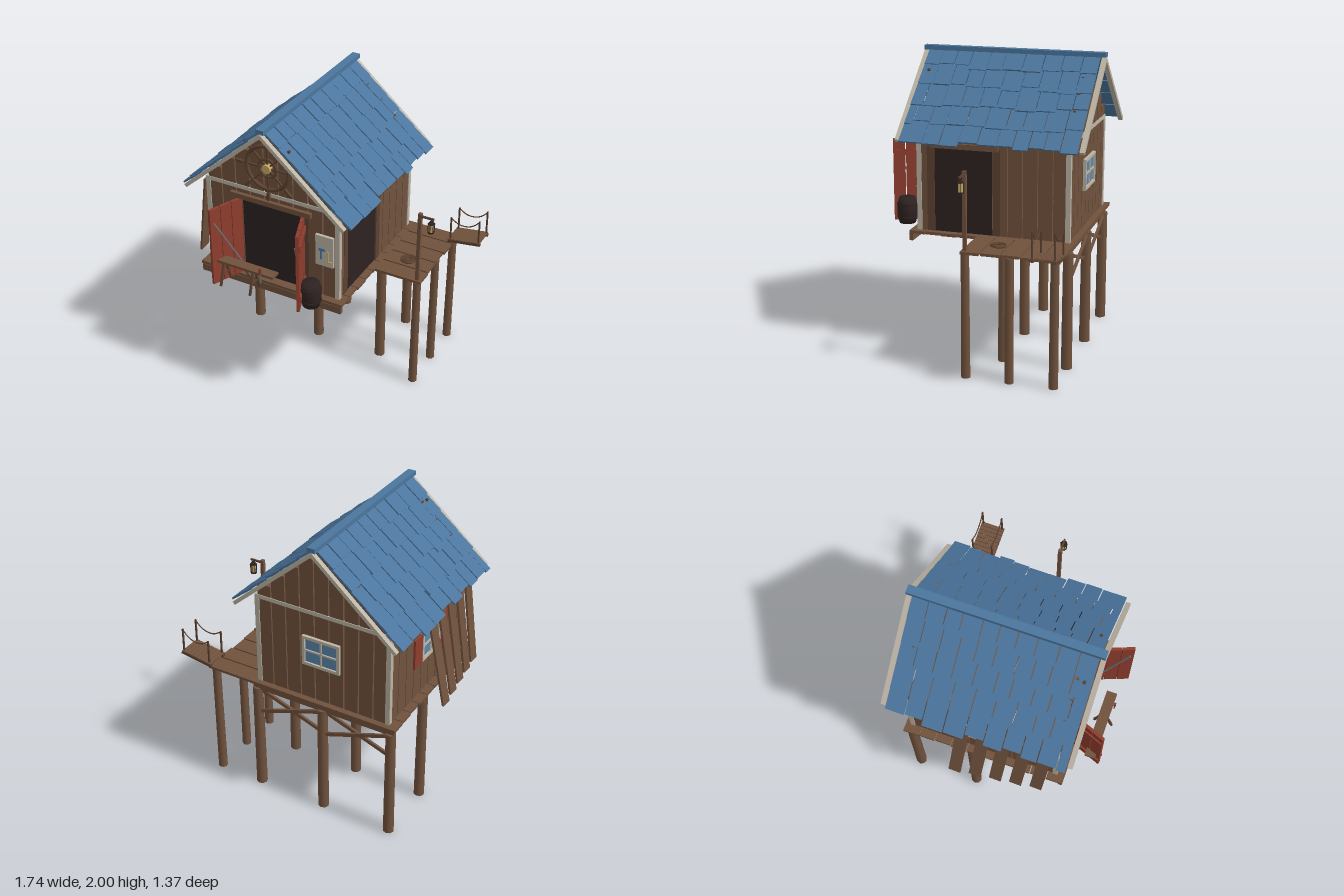
import * as THREE from 'three';

const mat = (name, hex) => Object.assign(new THREE.MeshStandardMaterial({ color: hex }), { name });
const M = {
  wood: mat('weathered wood', 0x70523d), darkWood: mat('dark wood', 0x5c4230), blue: mat('roof blue', 0x4c769e),
  cream: mat('cream trim', 0xbdb5a5), red: mat('door red', 0x8f3d2e), dark: mat('dark interior', 0x2d2221),
  gold: mat('brass', 0xcaa964), metal: mat('grey metal', 0x6f7476), glass: mat('window glass', 0x5b86ab),
};
const CX = -0.185, FLOOR = 0.85, FRONT = 0.43, BACK = -0.57, LEFT = -0.655, RIGHT = 0.285;
const RIDGE = 1.975, ANGLE = 0.72;

let seed = 7;
const rnd = () => ((seed = (seed * 16807) % 2147483647) / 2147483647);
const jit = a => (rnd() - 0.5) * 2 * a;

function add(parent, name, geo, m, x = 0, y = 0, z = 0) {
  const o = new THREE.Mesh(geo, m);
  o.name = name;
  o.position.set(x, y, z);
  parent.add(o);
  return o;
}
const box = (p, name, m, w, h, d, x, y, z) => add(p, name, new THREE.BoxGeometry(w, h, d), m, x, y, z);
const cyl = (p, name, m, r1, r2, h, n, x, y, z) => add(p, name, new THREE.CylinderGeometry(r1, r2, h, n), m, x, y, z);
// box given by its lower and upper corners
const span = (p, name, m, x0, x1, y0, y1, z0, z1) =>
  box(p, name, m, x1 - x0, y1 - y0, z1 - z0, (x0 + x1) / 2, (y0 + y1) / 2, (z0 + z1) / 2);
// square bar running between two points
function bar(p, name, m, a, b, w, d = w) {
  const A = new THREE.Vector3(...a), B = new THREE.Vector3(...b), dir = B.clone().sub(A);
  const o = box(p, name, m, w, dir.length(), d, ...A.clone().add(B).multiplyScalar(0.5).toArray());
  o.quaternion.setFromUnitVectors(new THREE.Vector3(0, 1, 0), dir.normalize());
  return o;
}
function tube(p, name, m, pts, r, seg = 16) {
  const c = new THREE.CatmullRomCurve3(pts.map(q => new THREE.Vector3(...q)));
  return add(p, name, new THREE.TubeGeometry(c, seg, r, 6), m);
}
function group(parent, name, x = 0, y = 0, z = 0) {
  const g = new THREE.Group();
  g.name = name;
  g.position.set(x, y, z);
  parent.add(g);
  return g;
}

// stilts, beams, cross braces and deck
function buildPlatform(root) {
  const g = group(root, 'platform');
  const xs = [-0.68, CX, 0.31];
  for (const z of [-0.58, -0.15]) for (const x of xs) cyl(g, 'stilt', M.wood, 0.034, 0.037, 0.79, 8, x, 0.395, z);
  for (const z of [0, -0.29, -0.58]) cyl(g, 'pierStilt', M.wood, 0.028, 0.031, 0.83, 8, 0.64, 0.415, z);
  for (const z of [-0.58, -0.15, 0.48]) span(g, 'beam', M.wood, -0.71, 0.335, 0.78, 0.83, z - 0.013, z + 0.013);
  for (const [a, b] of [[-0.65, -0.215], [-0.155, 0.28]]) {
    bar(g, 'brace', M.wood, [a, 0.61, -0.57], [b, 0.765, -0.57], 0.024, 0.016);
    bar(g, 'brace', M.wood, [a, 0.765, -0.59], [b, 0.61, -0.59], 0.024, 0.016);
  }
  for (let i = 0; i < 10; i++) {
    const z = -0.62 + i * 0.1115;
    span(g, 'deckPlank', M.wood, -0.72 + jit(0.006), 0.34 + jit(0.006), 0.83, FLOOR, z, z + 0.106);
  }
  for (let i = 0; i < 5; i++) {
    const z = -0.62 + i * 0.131;
    span(g, 'pierPlank', M.wood, 0.335, 0.665 + jit(0.008), 0.832, 0.85, z, z + 0.12);
  }
}

// window with frame and cross bars, built facing +z
function buildWindow(parent, name, w, h) {
  const g = group(parent, name);
  box(g, 'pane', M.glass, w, h, 0.008, 0, 0, 0.004);
  for (const s of [-1, 1]) {
    box(g, 'frameSide', M.cream, 0.02, h + 0.02, 0.022, s * w / 2, 0, 0.01);
    box(g, 'frameRail', M.cream, w + 0.02, 0.02, 0.022, 0, s * h / 2, 0.01);
  }
  box(g, 'upright', M.cream, 0.012, h, 0.016, 0, 0, 0.008);
  box(g, 'crossbar', M.cream, w, 0.012, 0.016, 0, 0, 0.008);
  return g;
}

function buildWalls(root) {
  const g = group(root, 'walls');
  // gable walls: stepped planks with narrow gaps
  const n = 9, p = (RIGHT - LEFT) / n;
  for (const z of [FRONT, BACK]) for (let i = 0; i < n; i++) {
    const x0 = LEFT + i * p, out = Math.abs(x0 + p / 2 - CX) + p / 2;
    const top = Math.min(RIDGE - 0.877 * out + 0.02 + jit(0.008), 1.91);
    const y0 = z === FRONT && i >= 2 && i <= 6 ? 1.41 : FLOOR;
    span(g, 'gablePlank', M.wood, x0 + 0.004, x0 + p - 0.004, y0, top, z - 0.01, z + 0.01);
  }
  // side walls, with a doorway on the right
  const q = (FRONT - BACK) / 10;
  for (let i = 0; i < 10; i++) {
    const z0 = BACK + i * q;
    span(g, 'leftPlank', M.wood, LEFT - 0.01, LEFT + 0.01, FLOOR, 1.5, z0 + 0.003, z0 + q - 0.003);
    const y0 = i >= 5 && i < 9 ? 1.42 : FLOOR;
    span(g, 'rightPlank', M.wood, RIGHT - 0.01, RIGHT + 0.01, y0, 1.5, z0 + 0.003, z0 + q - 0.003);
  }
  // dark openings with jambs and lintels
  span(g, 'frontOpening', M.dark, -0.42, 0.045, FLOOR, 1.42, FRONT - 0.006, FRONT);
  for (const s of [-1, 1]) box(g, 'frontJamb', M.darkWood, 0.045, 0.57, 0.025, CX + s * 0.243, 1.135, FRONT);
  span(g, 'frontLintel', M.wood, -0.48, 0.105, 1.41, 1.445, FRONT, FRONT + 0.035);
  span(g, 'sideOpening', M.dark, RIGHT, RIGHT + 0.006, FLOOR, 1.42, -0.065, 0.33);
  for (const z of [-0.095, 0.35]) box(g, 'sideJamb', M.darkWood, 0.025, 0.57, 0.05, RIGHT, 1.135, z);
  span(g, 'sideLintel', M.wood, RIGHT, RIGHT + 0.03, 1.41, 1.445, -0.11, 0.345);
  // cream trim
  for (const z of [FRONT, BACK]) {
    for (const x of [LEFT, RIGHT]) box(g, 'cornerPost', M.cream, 0.032, 0.63, 0.032, x, 1.165, z);
    box(g, 'gableTrim', M.cream, 0.97, 0.026, 0.03, CX, 1.487, z);
  }
  // windows at the back and on the shuttered side
  const back = buildWindow(g, 'backWindow', 0.25, 0.19);
  back.position.set(CX, 1.21, BACK - 0.01);
  back.rotation.y = Math.PI;
  const side = buildWindow(g, 'sideWindow', 0.22, 0.19);
  side.position.set(LEFT - 0.01, 1.2, -0.07);
  side.rotation.y = -Math.PI / 2;
  for (const s of [-1, 1]) box(side, 'shutter', M.red, 0.1, 0.21, 0.014, s * 0.172, 0, 0.012);
}

// shingled slopes with rakes and a ridge cap
function buildRoof(root) {
  const g = group(root, 'roof');
  for (const s of [-1, 1]) {
    const slope = group(g, 'roofSlope', CX, RIDGE, 0);
    slope.rotation.z = -s * ANGLE;
    const rows = 5, pitch = 0.158;
    for (let r = 0; r < rows; r++) {
      let z = -0.655;
      while (z < 0.515) {
        let w = 0.1 + rnd() * 0.04;
        if (z + w > 0.48) w = 0.525 - z;
        const end = (r + 1) * pitch + jit(0.022), start = Math.max(0.01, r * pitch - 0.02);
        const t = box(slope, 'shingle', M.blue, end - start, 0.012, w - 0.007,
          s * (start + end) / 2, 0.004 + rnd() * 0.005, z + w / 2);
        t.rotation.z = s * 0.05;
        z += w;
      }
    }
    for (const z of [-0.675, 0.543]) box(slope, 'rake', M.cream, 0.77, 0.024, 0.032, s * 0.385, -0.014, z);
  }
  box(g, 'ridgeCap', M.blue, 0.055, 0.03, 1.245, CX, 1.985, -0.0675);
}

// open double doors with slanting stays
function buildDoors(root) {
  for (const s of [-1, 1]) {
    const d = group(root, 'frontDoor', CX + s * 0.225, 1.13, FRONT + 0.01);
    d.rotation.y = s * 0.37;
    for (let i = 0; i < 3; i++) box(d, 'doorPlank', M.red, 0.02, 0.56, 0.08, 0, 0, 0.045 + i * 0.085);
    for (const y of [-0.19, 0.19]) box(d, 'doorBatten', M.red, 0.012, 0.04, 0.24, s * 0.014, y, 0.13);
    bar(d, 'doorStay', M.metal, [-s * 0.016, -0.19, 0.03], [-s * 0.016, 0.18, 0.23], 0.009);
  }
}

function buildWheel(root) {
  const g = group(root, 'shipWheel', CX, 1.7, FRONT + 0.045);
  add(g, 'rim', new THREE.TorusGeometry(0.15, 0.013, 8, 32), M.darkWood);
  add(g, 'innerRing', new THREE.TorusGeometry(0.062, 0.009, 8, 24), M.darkWood);
  for (let i = 0; i < 8; i++) {
    const a = i * Math.PI / 4, c = Math.cos(a), s = Math.sin(a);
    bar(g, 'spoke', M.darkWood, [0, 0, 0], [c * 0.18, s * 0.18, 0], 0.011);
    bar(g, 'handle', M.darkWood, [c * 0.175, s * 0.175, 0], [c * 0.228, s * 0.228, 0], 0.018);
  }
  cyl(g, 'hub', M.gold, 0.03, 0.03, 0.035, 16, 0, 0, 0.005).rotation.x = Math.PI / 2;
  bar(g, 'axle', M.darkWood, [0, 0, -0.045], [0, 0, 0], 0.03);
}

// bench, barrel, notice board and leaning boards
function buildYard(root) {
  const b = group(root, 'workbench');
  span(b, 'benchTop', M.wood, -0.53, -0.065, 1.01, 1.028, 0.58, 0.65);
  for (const x of [-0.445, -0.225]) {
    for (const s of [-1, 1]) bar(b, 'benchLeg', M.darkWood, [x, FLOOR, 0.615 + s * 0.06], [x, 1.01, 0.615 + s * 0.01], 0.014);
    box(b, 'legTie', M.darkWood, 0.01, 0.012, 0.07, x, 0.92, 0.615);
  }
  bar(b, 'benchBrace', M.darkWood, [-0.225, 0.92, 0.615], [-0.31, 1.01, 0.615], 0.01);
  bar(b, 'toolBlade', M.metal, [-0.15, 0.97, 0.66], [-0.15, 1.04, 0.66], 0.007);
  bar(b, 'toolHandle', M.red, [-0.15, 1.035, 0.66], [-0.15, 1.075, 0.66], 0.014);

  const k = group(root, 'barrel', 0.165, FLOOR, 0.57);
  const prof = [[0, 0], [0.055, 0], [0.066, 0.05], [0.069, 0.09], [0.066, 0.13], [0.055, 0.175], [0, 0.17]];
  add(k, 'barrelBody', new THREE.LatheGeometry(prof.map(v => new THREE.Vector2(...v)), 16), M.dark);
  for (const y of [0.045, 0.13]) cyl(k, 'hoop', M.dark, 0.069, 0.069, 0.012, 16, 0, y, 0);

  const n = group(root, 'noticeBoard', 0.2, 1.2, FRONT + 0.02);
  box(n, 'board', M.cream, 0.125, 0.22, 0.02, 0, 0, 0);
  box(n, 'bluePatch', M.blue, 0.045, 0.018, 0.008, -0.015, 0.012, 0.013);
  box(n, 'blueHook', M.blue, 0.008, 0.07, 0.008, -0.02, -0.025, 0.013);
  box(n, 'brassHook', M.gold, 0.01, 0.075, 0.008, 0.028, -0.03, 0.013);
  box(n, 'brassFoot', M.gold, 0.035, 0.01, 0.008, 0.04, -0.07, 0.013);

  const l = group(root, 'leaningBoards');
  for (let i = 0; i < 5; i++) {
    const z = -0.19 + i * 0.135;
    bar(l, 'leaningBoard', M.wood, [-0.865 + i * 0.017, FLOOR, z - 0.01], [-0.7 - 0.004 * (4 - i), 1.45, z + 0.03], 0.014, 0.082);
  }
}

// lamp post, rope coil and gangway on the pier
function buildPier(root) {
  const l = group(root, 'lampPost', 0.64, FLOOR, 0);
  box(l, 'post', M.wood, 0.024, 0.51, 0.024, 0, 0.255, 0);
  box(l, 'arm', M.darkWood, 0.1, 0.012, 0.012, 0.045, 0.49, 0);
  cyl(l, 'lampCap', M.dark, 0.008, 0.026, 0.025, 6, 0.078, 0.467, 0);
  cyl(l, 'lampGlass', M.gold, 0.02, 0.017, 0.06, 6, 0.078, 0.425, 0);
  cyl(l, 'lampBase', M.dark, 0.021, 0.021, 0.01, 6, 0.078, 0.392, 0);
  for (let i = 0; i < 6; i++) {
    const a = i * Math.PI / 3;
    box(l, 'lampRib', M.dark, 0.004, 0.065, 0.004, 0.078 + Math.sin(a) * 0.02, 0.425, Math.cos(a) * 0.02);
  }

  const coil = [];
  for (let i = 0; i <= 36; i++) {
    const a = i * Math.PI / 6, r = 0.012 + i * 0.0012;
    coil.push([0.495 + r * Math.cos(a), 0.858, -0.17 + r * Math.sin(a)]);
  }
  tube(root, 'ropeCoil', M.darkWood, coil, 0.007, 100);

  const g = group(root, 'gangway', 0.64, 0.862, -0.565);
  g.rotation.z = 0.14;
  for (const z of [-0.07, 0.07]) {
    span(g, 'runner', M.darkWood, 0, 0.235, 0, 0.016, z - 0.012, z + 0.012);
    for (const x of [0.015, 0.22]) bar(g, 'railPost', M.darkWood, [x, 0, z], [x + 0.025, 0.19, z], 0.01);
    tube(g, 'railRope', M.darkWood, [[0.04, 0.185, z], [0.09, 0.145, z], [0.15, 0.135, z], [0.2, 0.15, z], [0.245, 0.185, z]], 0.004);
  }
  for (let i = 0; i < 8; i++) box(g, 'tread', M.wood, 0.026, 0.01, 0.165, 0.016 + i * 0.029, 0.02, 0);
}

export function createModel() {
  const root = new THREE.Group();
  root.name = 'stiltBoathouse';
  [buildPlatform, buildWalls, buildRoof, buildDoors, buildWheel, buildYard, buildPier].forEach(f => f(root));
  return root;
}
